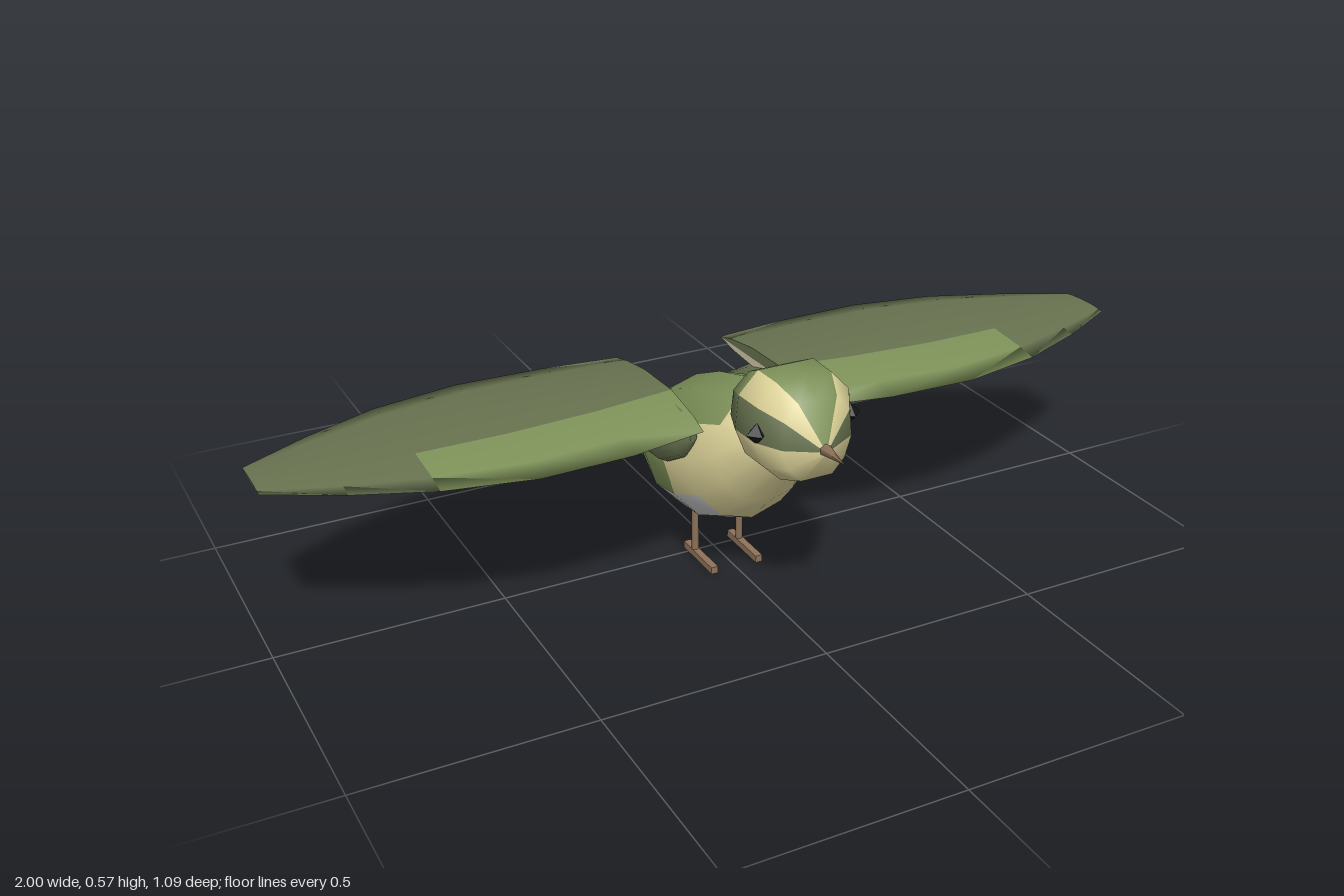
import * as THREE from 'three';

const COLORS = {
  green: 0x7f935a, dark: 0x687350, cream: 0xded49a, white: 0xcccccc,
  buff: 0xd3cba8, brown: 0x8e735a, black: 0x151515,
};
const materials = {};
for (const k in COLORS) {
  materials[k] = new THREE.MeshStandardMaterial({ color: COLORS[k] });
}

// Skin closed rings of points, smooth normals, one mesh per colour.
// pick(band, side) names the colour of each quad.
function loft(name, rings, pick) {
  const n = rings[0].length, pos = [], faces = [];
  rings.forEach(r => r.forEach(p => pos.push(...p)));
  for (let b = 0; b < rings.length - 1; b++) {
    for (let j = 0; j < n; j++) {
      const k = (j + 1) % n, a = b * n + j, c = b * n + k;
      faces.push([pick(b, j), a, c, c + n, a, c + n, a + n]);
    }
  }
  // end caps with their own vertices, so the rims stay crisp
  [0, rings.length - 1].forEach((r, end) => {
    const base = pos.length / 3, mid = [0, 0, 0];
    rings[r].forEach(p => { pos.push(...p); p.forEach((v, i) => { mid[i] += v / n; }); });
    pos.push(...mid);
    for (let j = 0; j < n; j++) {
      const a = base + j, c = base + (j + 1) % n;
      faces.push([pick(end ? r - 1 : 0, j), ...(end ? [a, c, base + n] : [c, a, base + n])]);
    }
  });
  // turn the skin outward if its enclosed volume is negative
  const P = i => new THREE.Vector3().fromArray(pos, i * 3);
  let volume = 0;
  for (const [, ...f] of faces) {
    for (let i = 0; i < f.length; i += 3) volume += P(f[i]).dot(P(f[i + 1]).cross(P(f[i + 2])));
  }
  if (volume < 0) faces.forEach(f => f.push(...f.splice(1).reverse()));

  const whole = new THREE.BufferGeometry();
  whole.setAttribute('position', new THREE.Float32BufferAttribute(pos, 3));
  whole.setIndex(faces.flatMap(f => f.slice(1)));
  whole.computeVertexNormals();
  const group = new THREE.Group();
  group.name = name;
  for (const color of new Set(faces.map(f => f[0]))) {
    whole.setIndex(faces.filter(f => f[0] === color).flatMap(f => f.slice(1)));
    const mesh = new THREE.Mesh(whole.toNonIndexed(), materials[color]);
    mesh.name = `${name} ${color}`;
    group.add(mesh);
  }
  return group;
}

// Rings from [zTop, yTop, zBottom, yBottom, halfWidth, centreX], shaped by a
// half profile running from top (0, 1) to bottom (0, -1).
function sections(half, rows) {
  const loop = [...half, ...half.slice(1, -1).reverse().map(([x, y]) => [-x, y])];
  return rows.map(([zt, yt, zb, yb, w, cx = 0]) => loop.map(([x, y]) => {
    const t = (y + 1) / 2;
    return [cx + x * w, yb + (yt - yb) * t, zb + (zt - zb) * t];
  }));
}
const mirrored = (j, half) => Math.min(j, 2 * (half.length - 1) - 1 - j);

const round = Array.from({ length: 7 }, (_, i) =>
  [Math.sin(i * Math.PI / 6), Math.cos(i * Math.PI / 6)]);
const headProfile = [[0, 1], [0.55, 1], [0.93, 0.58], [1, -0.1], [0.8, -0.65], [0.45, -1], [0, -1]];

function createWing(s) {
  // x, leading z, trailing z, thickness above the edge plane
  const stations = [
    [0.13, 0.21, -0.215, 0.034], [0.3, 0.243, -0.235, 0.029], [0.5, 0.25, -0.24, 0.023],
    [0.69, 0.21, -0.205, 0.016], [0.85, 0.145, -0.14, 0.01], [1, 0.065, -0.062, 0.004],
  ];
  // chord fraction (1 = leading edge) and relative height
  const foil = [[1, 0], [0.78, 0.5], [0.3, 1], [-0.3, 0.85], [-0.75, 0.4], [-1, 0],
    [-0.7, -0.3], [0, -0.5], [0.7, -0.35]];
  const rings = stations.map(([x, a, b, t]) => foil.map(([u, h]) =>
    [s * x, 0.403 + h * t, (a + b) / 2 + u * (a - b) / 2]));
  return loft(s > 0 ? 'leftWing' : 'rightWing', rings,
    (b, j) => (j > 4 ? 'buff' : j < 2 && b < 3 ? 'green' : 'dark'));
}

export function createModel() {
  const bird = new THREE.Group();
  bird.name = 'bird';
  const add = (name, geometry, color, x, y, z) => {
    const mesh = new THREE.Mesh(geometry, materials[color]);
    mesh.name = name;
    mesh.position.set(x, y, z);
    bird.add(mesh);
    return mesh;
  };

  // Body: green back, cream breast, pale belly
  bird.add(loft('body', sections(round, [
    [0.24, 0.47, 0.33, 0.34, 0.08], [0.22, 0.483, 0.25, 0.23, 0.118],
    [0.13, 0.47, 0.18, 0.158, 0.142], [0.03, 0.44, 0.08, 0.11, 0.148],
    [-0.08, 0.39, -0.02, 0.096, 0.142], [-0.15, 0.33, -0.1, 0.108, 0.118],
    [-0.2, 0.26, -0.155, 0.135, 0.08], [-0.25, 0.185, -0.2, 0.15, 0.04],
  ]), (b, j) => {
    const row = mirrored(j, round);
    if (row < 2) return b === 0 && row === 1 ? 'cream' : 'green';
    if (row > 3 && b > 1) return b > 5 ? 'green' : 'white';
    return b < 3 ? 'cream' : 'green';
  }));

  // Head: green crown, cream brow, dark eye stripe, cream throat
  bird.add(loft('head', sections(headProfile, [
    [0.472, 0.456, 0.472, 0.436, 0.01], [0.437, 0.541, 0.442, 0.375, 0.078],
    [0.385, 0.567, 0.385, 0.356, 0.11], [0.312, 0.567, 0.315, 0.356, 0.114],
    [0.25, 0.537, 0.25, 0.38, 0.09], [0.222, 0.485, 0.222, 0.42, 0.05],
  ]), (b, j) => {
    const row = mirrored(j, headProfile);
    if (row > 2) return 'cream';
    if (row === 2) return b < 4 ? 'dark' : 'green';
    return row === 1 && b < 3 ? 'cream' : 'green';
  }));
  const beak = add('beak', new THREE.ConeGeometry(0.015, 0.085, 6), 'brown', 0, 0.448, 0.502);
  beak.rotation.x = Math.PI / 2;

  // Tail: flat fan sloping down behind
  bird.add(loft('tail', sections(round, [
    [-0.17, 0.23, -0.13, 0.135, 0.05], [-0.25, 0.188, -0.22, 0.115, 0.05],
    [-0.34, 0.146, -0.32, 0.09, 0.065], [-0.45, 0.098, -0.44, 0.06, 0.09],
    [-0.545, 0.055, -0.54, 0.037, 0.105],
  ]), () => 'dark'));

  for (const s of [1, -1]) {
    const side = s > 0 ? 'left' : 'right';
    bird.add(createWing(s));

    // Shoulder feathers lying along the flank
    bird.add(loft(`${side}FlankFeathers`, sections(round, [
      [0.175, 0.385, 0.172, 0.365, 0.008, s * 0.135], [0.14, 0.425, 0.15, 0.322, 0.028, s * 0.145],
      [0.06, 0.435, 0.08, 0.282, 0.038, s * 0.15], [-0.08, 0.39, -0.04, 0.27, 0.04, s * 0.147],
      [-0.16, 0.34, -0.12, 0.263, 0.033, s * 0.13], [-0.21, 0.255, -0.19, 0.22, 0.022, s * 0.09],
      [-0.25, 0.19, -0.248, 0.183, 0.006, s * 0.05],
    ]), () => 'dark'));

    add(`${side}Eye`, new THREE.OctahedronGeometry(0.023), 'black', s * 0.105, 0.47, 0.387);
    add(`${side}Leg`, new THREE.CylinderGeometry(0.008, 0.008, 0.12, 6), 'brown', s * 0.055, 0.07, 0.02);
    add(`${side}Foot`, new THREE.BoxGeometry(0.016, 0.016, 0.135), 'brown', s * 0.055, 0.008, 0.047);
  }
  return bird;
}
